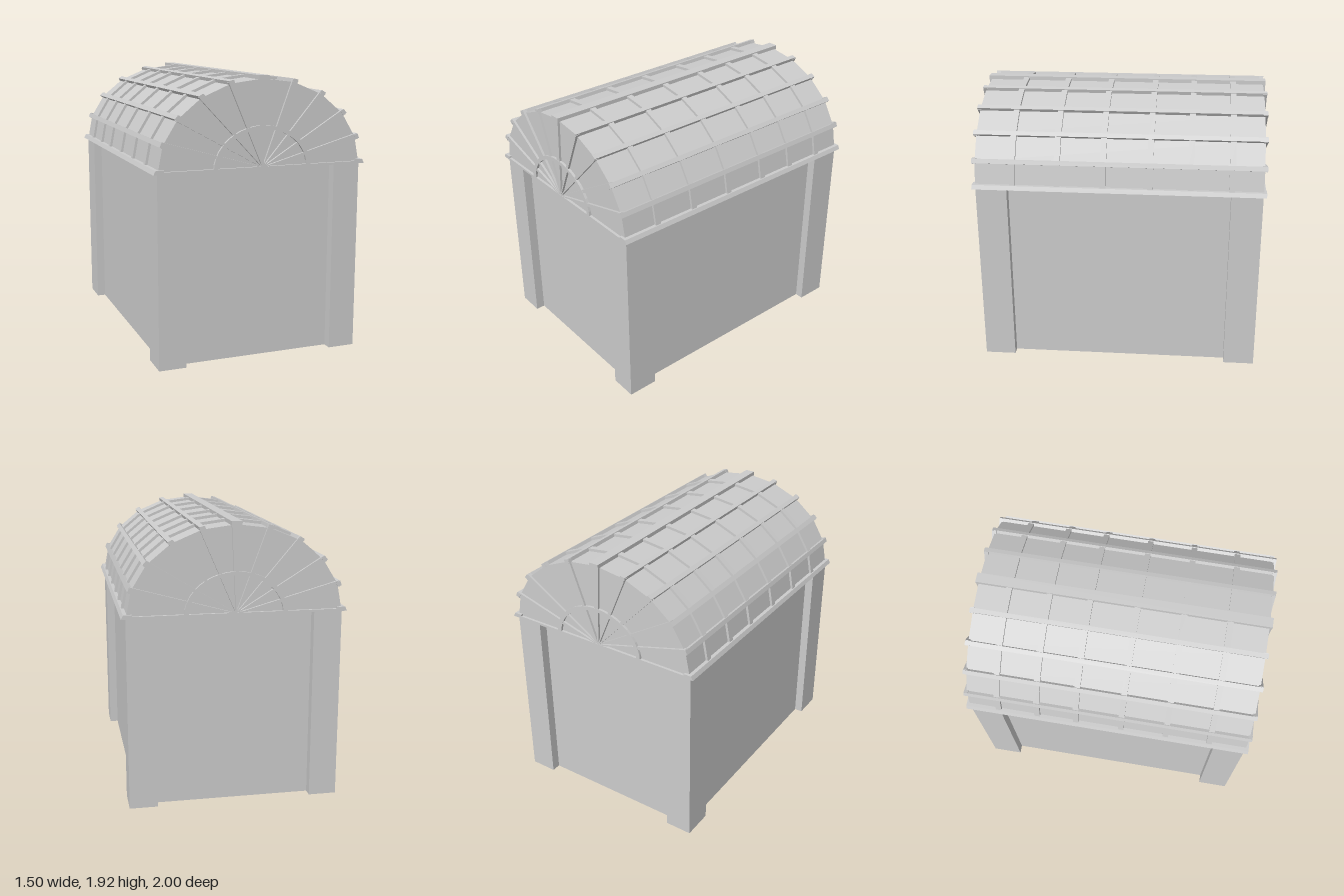
import * as THREE from 'three';

const BASE = 1.31;      // height of the walls, where the roof springs
const SEGMENTS = 10;    // flat facets across the vault
const material = new THREE.MeshStandardMaterial({ color: 0xcccccc, flatShading: true });

// Point on a half ellipse above the wall top; t = 0 is the right end, 1 the left
function archPoint(a, b, t) {
  const angle = Math.PI * t;
  return new THREE.Vector2(a * Math.cos(angle), BASE + b * Math.sin(angle));
}

function archPoints(a, b, n) {
  return Array.from({ length: n + 1 }, (_, i) => archPoint(a, b, i / n));
}

function addMesh(parent, name, geometry) {
  const mesh = new THREE.Mesh(geometry, material);
  mesh.name = name;
  parent.add(mesh);
  return mesh;
}

function addBox(parent, name, w, h, d, x, y, z) {
  const mesh = addMesh(parent, name, new THREE.BoxGeometry(w, h, d));
  mesh.position.set(x, y, z);
  return mesh;
}

// Prism with the given outline between z0 and z1
function addPrism(parent, name, points, z0, z1) {
  const geometry = new THREE.ExtrudeGeometry(new THREE.Shape(points), {
    depth: z1 - z0, bevelEnabled: false,
  });
  geometry.translate(0, 0, z0);
  return addMesh(parent, name, geometry);
}

// Raised fan of spokes with a half ring on one end of the roof, facing +z
function makeFan() {
  const fan = new THREE.Group();
  const centre = new THREE.Vector2(0, BASE + 0.01);
  for (let i = 1; i < SEGMENTS; i++) {
    const end = archPoint(0.73, 0.605, i / SEGMENTS);
    const dir = end.clone().sub(centre).normalize();
    const side = new THREE.Vector2(-dir.y, dir.x);
    const outer = i === SEGMENTS / 2 ? 0.034 : 0.02;
    const at = (p, w) => p.clone().addScaledVector(side, w);
    addPrism(fan, 'fanSpoke',
      [at(centre, -0.003), at(end, -outer), at(end, outer), at(centre, 0.003)], 0.97, 0.998);
  }
  const ring = [...archPoints(0.345, 0.287, 20), ...archPoints(0.315, 0.262, 20).reverse()];
  addPrism(fan, 'fanRing', ring, 0.97, 1);
  addBox(fan, 'fanSill', 1.46, 0.016, 0.03, 0, BASE + 0.008, 0.985);
  return fan;
}

export function createModel() {
  const model = new THREE.Group();
  model.name = 'vaultedBuilding';

  // Walls set back between four corner posts
  const body = new THREE.Group();
  body.name = 'body';
  addBox(body, 'walls', 1.32, BASE, 1.83, 0, BASE / 2, 0);
  for (const sx of [-1, 1]) {
    for (const sz of [-1, 1]) {
      addBox(body, 'cornerPost', 0.19, BASE, 0.215, sx * 0.625, BASE / 2, sz * 0.8725);
    }
  }
  model.add(body);

  // Faceted vault
  const roof = new THREE.Group();
  roof.name = 'roof';
  addPrism(roof, 'vault', archPoints(0.717, 0.588, SEGMENTS), -0.982, 0.982);

  // Ribs across the vault
  for (const z of [-0.768, -0.492, -0.217, 0.102, 0.416, 0.723]) {
    addPrism(roof, 'crossRib', archPoints(0.734, 0.607, SEGMENTS), z - 0.02, z + 0.02);
  }

  // Ribs along the vault, one on each fold, the ridge wider
  for (let i = 1; i < SEGMENTS; i++) {
    const p = archPoint(0.722, 0.595, i / SEGMENTS);
    const angle = Math.PI * i / SEGMENTS;
    const width = i === SEGMENTS / 2 ? 0.07 : 0.032;
    const rib = addBox(roof, 'lengthRib', width, 0.03, 2, p.x, p.y, 0);
    rib.rotation.z = Math.atan2(Math.sin(angle) / 0.595, Math.cos(angle) / 0.722) - Math.PI / 2;
  }

  // Flared eaves
  for (const s of [-1, 1]) {
    const eave = [[0.68, 0], [0.75, 0], [0.736, 0.028], [0.68, 0.028]]
      .map(([x, y]) => new THREE.Vector2(s * x, BASE + y));
    addPrism(roof, 'eave', eave, -1, 1);
  }

  // Matching fans on both ends
  for (const name of ['frontFan', 'backFan']) {
    const fan = makeFan();
    fan.name = name;
    if (name === 'backFan') fan.rotation.y = Math.PI;
    roof.add(fan);
  }
  model.add(roof);
  return model;
}
